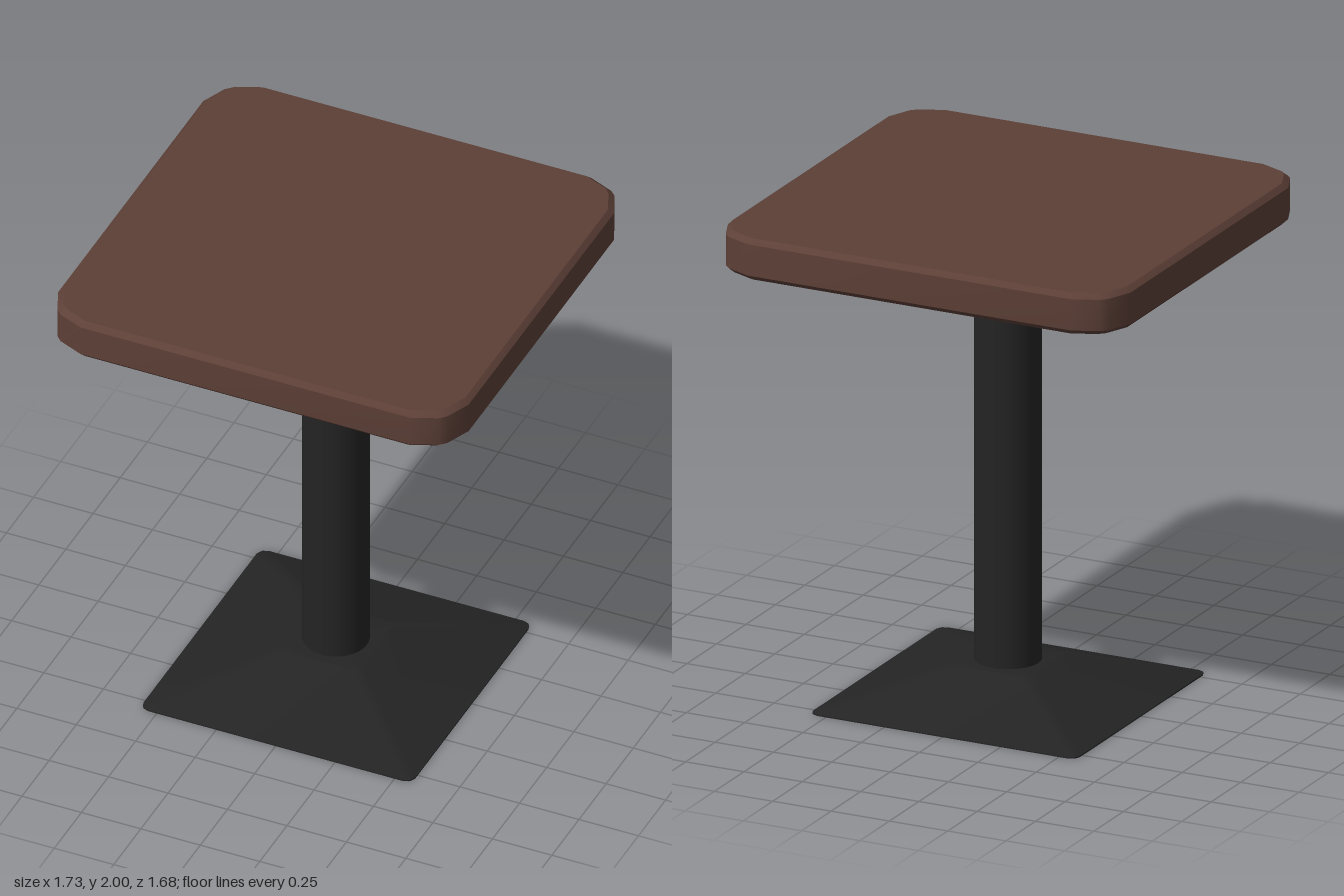
import * as THREE from 'three';
import { toCreasedNormals } from 'three/addons/utils/BufferGeometryUtils.js';

// Quarter-corner steps, as fractions of the corner radius
const CORNER = [[1, 0], [0.75, 0.6], [0.6, 0.75], [0, 1]];

// Closed outline of a rectangle with softened corners
function outline(hx, hz, r) {
  const points = [];
  [[1, 1], [-1, 1], [-1, -1], [1, -1]].forEach(([sx, sz], q) => {
    const steps = q % 2 ? [...CORNER].reverse() : CORNER;
    for (const [cx, cz] of steps) points.push([sx * (hx - r + r * cx), sz * (hz - r + r * cz)]);
  });
  return points;
}

// Capped solid through levels [y, halfX, halfZ, cornerRadius], bottom to top
function loft(levels, crease) {
  const pos = [], idx = [], n = CORNER.length * 4, last = levels.length - 1;
  for (const [y, hx, hz, r] of levels)
    for (const [x, z] of outline(hx, hz, r)) pos.push(x, y, z);
  const bottom = pos.length / 3, top = bottom + 1;
  pos.push(0, levels[0][0], 0, 0, levels[last][0], 0);
  for (let i = 0; i < n; i++) {
    const j = (i + 1) % n;
    for (let k = 0; k < last; k++) {
      const a = k * n, b = a + n;
      idx.push(a + i, b + i, a + j, a + j, b + i, b + j);
    }
    idx.push(bottom, i, j, top, last * n + j, last * n + i);
  }
  const geometry = new THREE.BufferGeometry();
  geometry.setAttribute('position', new THREE.Float32BufferAttribute(pos, 3));
  geometry.setIndex(idx);
  return toCreasedNormals(geometry, crease);
}

export function createModel() {
  const group = new THREE.Group();
  const wood = new THREE.MeshStandardMaterial({ color: 0x5d4037 });
  wood.name = 'dark brown wood';
  const metal = new THREE.MeshStandardMaterial({ color: 0x242424 });
  metal.name = 'black metal';

  const add = (name, geometry, material) => {
    const mesh = new THREE.Mesh(geometry, material);
    mesh.name = name;
    group.add(mesh);
    return mesh;
  };

  // Tabletop with bevelled rims
  add('tabletop', loft([
    [1.833, 0.843, 0.818, 0.162],
    [1.853, 0.863, 0.838, 0.17],
    [1.98, 0.863, 0.838, 0.17],
    [2, 0.843, 0.818, 0.162],
  ], 0.5), wood);

  // Round column
  const column = add('column', new THREE.CylinderGeometry(0.13, 0.13, 1.72, 32), metal);
  column.position.y = 0.98;

  // Sloping square foot
  add('base', loft([
    [0, 0.572, 0.557, 0.035],
    [0.005, 0.572, 0.557, 0.035],
    [0.145, 0.172, 0.17, 0.02],
  ], 0.3), metal);

  return group;
}
